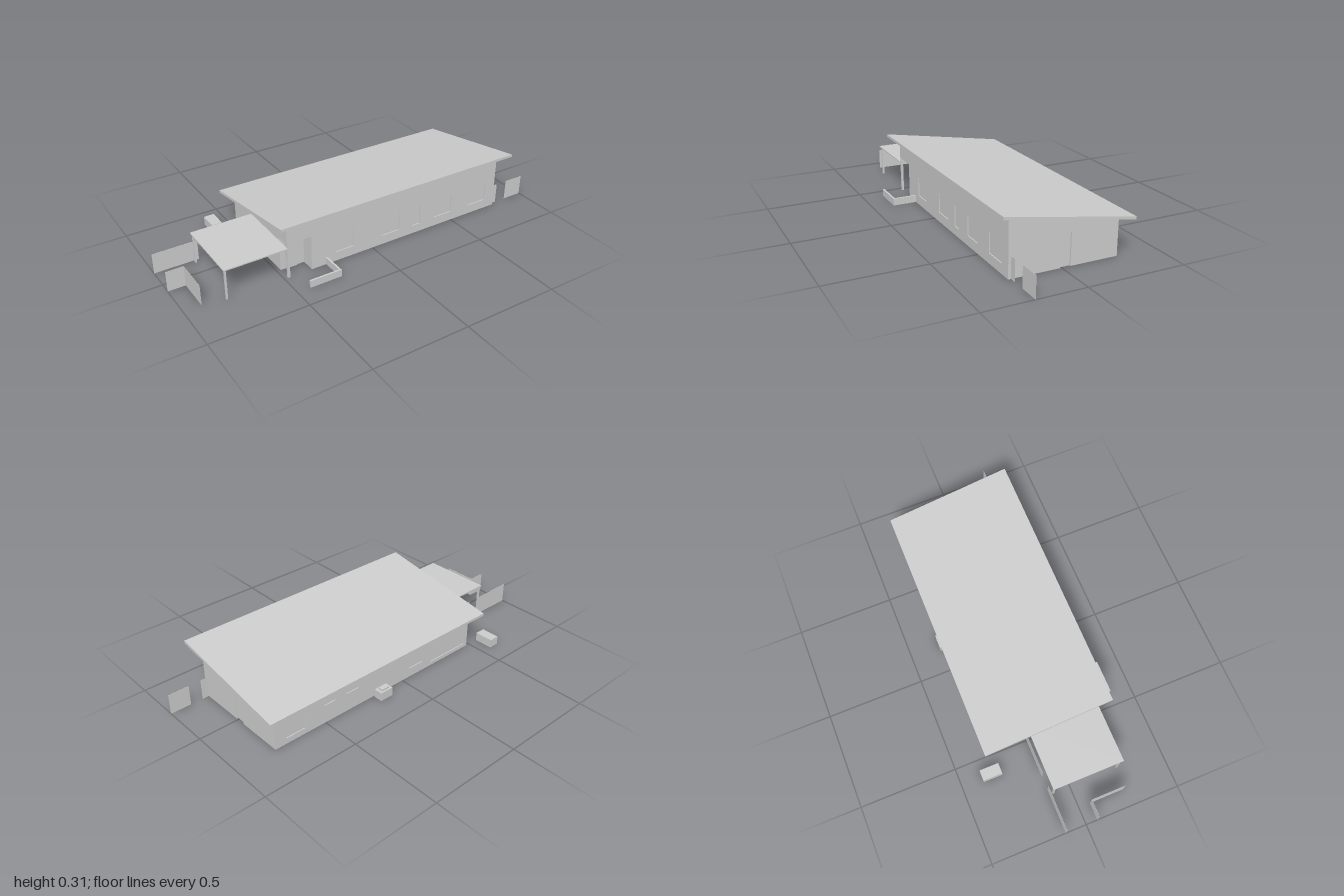
import * as THREE from 'three';

const grey = new THREE.MeshStandardMaterial({ color: 0xcccccc, flatShading: true, side: THREE.DoubleSide });
const FRONT = 0.265, BACK = -0.29, EAST = 0.79, WEST = -0.48, T = 0.012;

// Height of the sloping roof underside at depth z
const under = (z) => 0.298 + (z - 0.318) * 0.1674;

function add(parent, name, geometry) {
  const mesh = new THREE.Mesh(geometry, grey);
  mesh.name = name;
  parent.add(mesh);
  return mesh;
}

// Box given by its low and high limits on each axis
function box(parent, name, x0, x1, y0, y1, z0, z1) {
  const g = new THREE.BoxGeometry(x1 - x0, y1 - y0, z1 - z0);
  g.translate((x0 + x1) / 2, (y0 + y1) / 2, (z0 + z1) / 2);
  return add(parent, name, g);
}

// Outline with rectangular holes [u0, u1, v0, v1], extruded
function slab(points, holes, depth) {
  const shape = new THREE.Shape(points.map(([u, v]) => new THREE.Vector2(u, v)));
  for (const [a, b, c, d] of holes) {
    shape.holes.push(new THREE.Path([[a, c], [a, d], [b, d], [b, c]].map(([u, v]) => new THREE.Vector2(u, v))));
  }
  return new THREE.ExtrudeGeometry(shape, { depth, bevelEnabled: false });
}

// Wall running along x; z is its rear face
function wallX(parent, name, points, holes, z, depth = T) {
  return add(parent, name, slab(points, holes, depth).translate(0, 0, z));
}

// Wall running along z, outlined in (z, y); x is its +x face
function wallZ(parent, name, points, x, depth = T) {
  return add(parent, name, slab(points, [], depth).rotateY(-Math.PI / 2).translate(x, 0, 0));
}

export function createModel() {
  const model = new THREE.Group();
  model.name = 'house';

  // Outer walls, with a corner porch at the front west
  const walls = new THREE.Group();
  walls.name = 'outerWalls';
  model.add(walls);
  const frontWindows = [
    [-0.218, -0.11, 0.05, 0.149], [0.054, 0.163, 0.05, 0.149], [0.244, 0.292, 0.045, 0.149],
    [0.387, 0.496, 0.05, 0.149], [0.61, 0.727, 0.05, 0.149],
  ];
  const backWindows = [
    [0.62, 0.728, 0.03, 0.135], [0.435, 0.503, 0.098, 0.135], [0.293, 0.367, 0.098, 0.135],
    [-0.143, -0.048, 0.05, 0.135], [-0.456, -0.204, 0.02, 0.135],
  ];
  const ft = under(FRONT), bt = under(BACK);
  wallX(walls, 'frontWall', [
    [WEST, 0], [-0.47, 0], [-0.47, 0.185], [-0.35, 0.185], [-0.35, 0], [EAST, 0], [EAST, ft], [WEST, ft],
  ], frontWindows, FRONT - T);
  wallX(walls, 'backWall', [[WEST, 0], [EAST, 0], [EAST, bt], [WEST, bt]], backWindows, BACK);
  wallZ(walls, 'eastWall', [
    [BACK, 0], [-0.045, 0], [-0.045, 0.163], [0.01, 0.163], [0.01, 0], [FRONT, 0], [FRONT, ft], [BACK, bt],
  ], EAST);
  wallZ(walls, 'westWall', [
    [BACK, 0], [0.19, 0], [0.19, 0.185], [0.255, 0.185], [0.255, 0], [FRONT, 0], [FRONT, ft], [BACK, bt],
  ], WEST + T);

  // Window panes set slightly back from the outer faces
  for (const [a, b, c, d] of frontWindows) box(walls, 'frontWindow', a, b, c, d, FRONT - 0.009, FRONT - 0.005);
  for (const [a, b, c, d] of backWindows) box(walls, 'backWindow', a, b, c, d, BACK + 0.005, BACK + 0.009);

  // Side door with its transom
  box(walls, 'sideDoor', EAST - T, EAST - T + 0.004, 0, 0.145, -0.045, 0.01);
  box(walls, 'sideDoorTransom', EAST - T, EAST - T + 0.007, 0.145, 0.163, -0.045, 0.01);

  // Recessed porch walls and entrance door
  wallX(walls, 'porchBackWall', [[WEST, 0], [-0.34, 0], [-0.34, under(0.18)], [WEST, under(0.18)]], [], 0.18, 0.01);
  wallZ(walls, 'porchSideWall', [[0.19, 0], [FRONT - T, 0], [FRONT - T, under(FRONT - T)], [0.19, under(0.19)]], -0.34, 0.01);
  box(walls, 'entranceDoor', -0.45, -0.39, 0, 0.15, 0.188, 0.194);

  // Corridor walls with door openings, and room partitions
  const rooms = new THREE.Group();
  rooms.name = 'partitions';
  model.add(rooms);
  for (const [z, doors] of [[0.02, [0.08, 0.25, 0.4, 0.6]], [-0.065, [0.08, 0.31, 0.44, 0.6]]]) {
    const top = under(z);
    const outline = [[0, 0]];
    for (const x of doors) outline.push([x, 0], [x, 0.145], [x + 0.055, 0.145], [x + 0.055, 0]);
    outline.push([EAST - T, 0], [EAST - T, top], [0, top]);
    wallX(rooms, 'corridorWall', outline, [], z, 0.01);
  }
  const cross = (x, z0, z1) =>
    wallZ(rooms, 'roomPartition', [[z0, 0], [z1, 0], [z1, under(z1)], [z0, under(z0)]], x, 0.01);
  for (const x of [0.01, 0.22, 0.33, 0.56]) cross(x, 0.03, FRONT - T);
  for (const x of [0.01, 0.27, 0.4, 0.56]) cross(x, BACK + T, -0.065);
  cross(-0.19, 0.08, FRONT - T);

  // Single-pitch roof
  wallZ(model, 'roof', [[-0.345, 0.187], [0.318, 0.298], [0.318, 0.312], [-0.345, 0.201]], 0.845, 1.38);

  // Carport canopy and posts
  const carport = new THREE.Group();
  carport.name = 'carport';
  model.add(carport);
  box(carport, 'canopy', -0.805, WEST, 0.162, 0.168, -0.1, 0.272);
  for (const z of [-0.09, 0.258]) box(carport, 'carportPost', -0.799, -0.79, 0, 0.162, z - 0.0045, z + 0.0045);

  // Garden fence panels: x0, x1, z0, z1
  const F = 0.001;
  for (const [x0, x1, z0, z1] of [
    [-0.7, WEST, -0.11, -0.11 + F], [-1, -0.77, -0.11, -0.11 + F],
    [-1, -0.91, 0.06, 0.06 + F], [-0.911, -0.91, 0.06, 0.24],
    [EAST, 0.825, 0.25, 0.25 + F], [0.89, 1, 0.25, 0.25 + F],
  ]) box(model, 'fencePanel', x0, x1, 0, 0.108, z0, z1);

  // Low garden wall by the entrance
  box(model, 'lowWallFront', -0.43, -0.26, 0, 0.037, 0.38, 0.39);
  box(model, 'lowWallSide', -0.27, -0.26, 0, 0.037, FRONT, 0.38);

  // Utility boxes behind the house
  box(model, 'utilityBox', -0.615, -0.56, 0, 0.045, -0.39, -0.29);
  box(model, 'outdoorUnit', 0.12, 0.195, 0, 0.045, -0.345, -0.298);
  box(model, 'outdoorUnitCap', 0.135, 0.18, 0.045, 0.054, -0.335, -0.307);

  return model;
}
